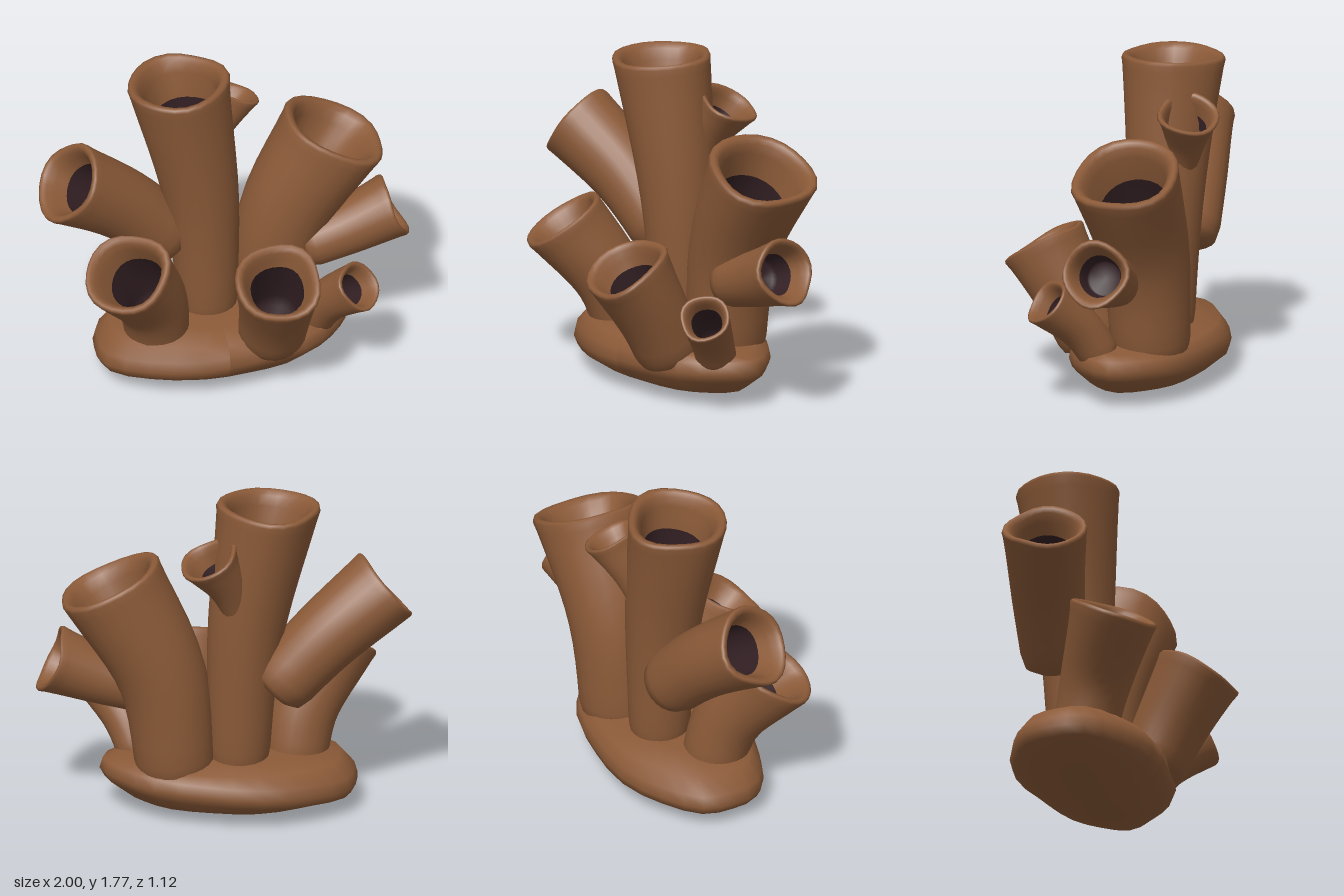
import * as THREE from 'three';
import { mergeVertices } from 'three/addons/utils/BufferGeometryUtils.js';

const SIDES = 24;

// Tubes: path points, foot and rim radius, rim saddle height, sideways rim tilt, rim phase,
// depth of the brown inner lip (in rim radii) and where the hollow ends along the path
const TUBES = [
  { name: 'tallTube', path: [[-0.07, 0.15, -0.21], [-0.11, 1.0, -0.21], [-0.24, 1.75, -0.205]], r0: 0.16, r1: 0.27, saddle: 0.006, tilt: -0.11, phase: 0.6, lip: 0.85, floor: 0.22 },
  { name: 'wideRightTube', path: [[0.25, 0.15, -0.245], [0.34, 0.8, -0.235], [0.62, 1.325, -0.215]], r0: 0.21, r1: 0.292, saddle: 0.004, tilt: 0.06, phase: 3.0, lip: 0.8, floor: 0.22 },
  { name: 'upperLeftTube', path: [[-0.245, 0.7, -0.27], [-0.54, 1.0, -0.21], [-0.86, 1.25, -0.11]], r0: 0.18, r1: 0.222, saddle: 0.008, tilt: 0, phase: 1.2, lip: 0.62, floor: 0.3 },
  { name: 'frontLeftTube', path: [[-0.37, 0.18, -0.08], [-0.42, 0.5, 0.01], [-0.595, 0.825, 0.19]], r0: 0.17, r1: 0.235, saddle: 0.005, tilt: -0.1, phase: 0.3, lip: 0.7, floor: 0.22 },
  { name: 'frontTube', path: [[0.21, 0.23, 0.08], [0.21, 0.48, 0.2], [0.19, 0.79, 0.38]], r0: 0.18, r1: 0.233, saddle: 0.012, tilt: 0, phase: 3.1, lip: 0.5, floor: 0.22 },
  { name: 'smallFrontTube', path: [[0.45, 0.23, -0.04], [0.53, 0.42, 0.065], [0.665, 0.59, 0.215]], r0: 0.108, r1: 0.135, saddle: 0.003, tilt: 0, phase: 2.0, lip: 0.65, floor: 0.25 },
  { name: 'lowerRightTube', path: [[0.41, 0.66, -0.12], [0.66, 0.74, -0.13], [0.92, 0.845, -0.14]], r0: 0.135, r1: 0.182, saddle: 0.015, tilt: 0, phase: 0.5, lip: 0.6, floor: 0.56 },
  { name: 'smallBackTube', path: [[-0.09, 1.1, -0.3], [-0.015, 1.34, -0.35], [0.09, 1.525, -0.4]], r0: 0.07, r1: 0.165, saddle: 0.006, tilt: 0.08, phase: 2.4, lip: 0.7, floor: 0.3 },
];

// Skins rings placed along a curve; each row is [position, radius, rim waviness 0..1]
function skin(curve, rows, { saddle, tilt, phase }) {
  const pos = [], index = [];
  const zAxis = new THREE.Vector3(0, 0, 1);
  rows.forEach(([s, r, wave], i) => {
    const c = curve.getPointAt(s);
    const t = curve.getTangentAt(s);
    const u = new THREE.Vector3().crossVectors(t, zAxis).normalize();
    const v = new THREE.Vector3().crossVectors(u, t);
    for (let j = 0; j < SIDES; j++) {
      const a = (j / SIDES) * Math.PI * 2;
      const rr = r * (1 + wave * (0.03 * Math.cos(4 * a + phase) + 0.025 * Math.cos(3 * a - phase)));
      const bump = r > 0 ? saddle * (Math.cos(2 * a) + 0.2 * Math.cos(5 * a + phase)) : 0;
      const lift = wave * (bump + tilt * rr * Math.cos(a));
      const p = c.clone()
        .addScaledVector(u, rr * Math.cos(a))
        .addScaledVector(v, rr * Math.sin(a))
        .addScaledVector(t, lift);
      pos.push(p.x, p.y, p.z);
      if (i < rows.length - 1) {
        const k = (j + 1) % SIDES;
        const p0 = i * SIDES + j, p1 = p0 + SIDES, q0 = i * SIDES + k, q1 = q0 + SIDES;
        index.push(p0, p1, q0, p1, q1, q0);
      }
    }
  });
  let g = new THREE.BufferGeometry();
  g.setAttribute('position', new THREE.Float32BufferAttribute(pos, 3));
  g.setIndex(index);
  g = mergeVertices(g, 1e-5);
  g.computeVertexNormals();
  return g;
}

function makeTube(tube, skinMat, hollowMat) {
  const { name, path, r0, r1, lip, floor } = tube;
  const curve = new THREE.CatmullRomCurve3(path.map(p => new THREE.Vector3(...p)), false, 'centripetal');
  const length = curve.getLength();
  const depth = d => 1 - (d * r1) / length;

  // Outer wall with a rounded foot, flaring to the rim
  const outer = [[0, 0, 0], [0.01, r0 * 0.6, 0], [0.05, r0 * 0.92, 0]];
  const top = depth(0.25);
  for (let i = 1; i <= 10; i++) {
    const f = 0.05 + (top - 0.05) * (i / 10);
    outer.push([f, r0 + (r1 - r0) * Math.pow(f, 1.5), Math.pow(f, 4)]);
  }
  // Rolled lip and the upper inner wall
  outer.push([depth(0.08), r1, 1], [depth(0.02), r1 * 0.98, 1], [1, r1 * 0.93, 1], [depth(0.02), r1 * 0.86, 1],
    [depth(0.1), r1 * 0.79, 1], [depth(0.3), r1 * 0.71, 0.8], [depth(lip), r1 * 0.62, 0.6]);

  // Dark lining of the deep hollow
  const start = depth(lip), end = Math.min(floor, start - 0.05);
  const inner = [[start, r1 * 0.62, 0.6]];
  for (let i = 1; i <= 4; i++) {
    const f = start + (end - start) * (i / 4);
    inner.push([f, THREE.MathUtils.lerp(r1 * 0.62, r0 * 0.65, i / 4), 0.2]);
  }
  inner.push([end, 0, 0]);

  const group = new THREE.Group();
  group.name = name;
  const wall = new THREE.Mesh(skin(curve, outer, tube), skinMat);
  wall.name = 'tubeWall';
  const hollow = new THREE.Mesh(skin(curve, inner, tube), hollowMat);
  hollow.name = 'tubeHollow';
  group.add(wall, hollow);
  return group;
}

// Flattened, slightly lumpy foot that all tubes grow from
function makeBase(mat) {
  const profile = [[0, 0], [0.45, 0.02], [0.78, 0.07], [0.96, 0.13], [1, 0.18], [0.975, 0.24], [0.86, 0.295], [0.5, 0.32], [0, 0.33]];
  const g = new THREE.LatheGeometry(profile.map(p => new THREE.Vector2(...p)), 28);
  const p = g.attributes.position;
  for (let i = 0; i < p.count; i++) {
    const a = Math.atan2(p.getZ(i), p.getX(i));
    const k = 1 + 0.025 * Math.sin(3 * a + 1) + 0.015 * Math.cos(7 * a);
    const x = p.getX(i) * k * 0.685, y = p.getY(i);
    p.setXYZ(i, x, y + (y > 0.1 && y < 0.25 ? x * 0.05 : 0), p.getZ(i) * k * 0.395);
  }
  g.computeVertexNormals();
  const base = new THREE.Mesh(g, mat);
  base.name = 'base';
  base.position.set(-0.045, 0, -0.135);
  return base;
}

export function createModel() {
  const skinMat = new THREE.MeshStandardMaterial({ color: 0x8b5a38 });
  skinMat.name = 'brown';
  const hollowMat = new THREE.MeshStandardMaterial({ color: 0x332024 });
  hollowMat.name = 'dark hollow';

  const model = new THREE.Group();
  model.name = 'tubeSponge';
  model.add(makeBase(skinMat));
  for (const tube of TUBES) model.add(makeTube(tube, skinMat, hollowMat));
  return model;
}
